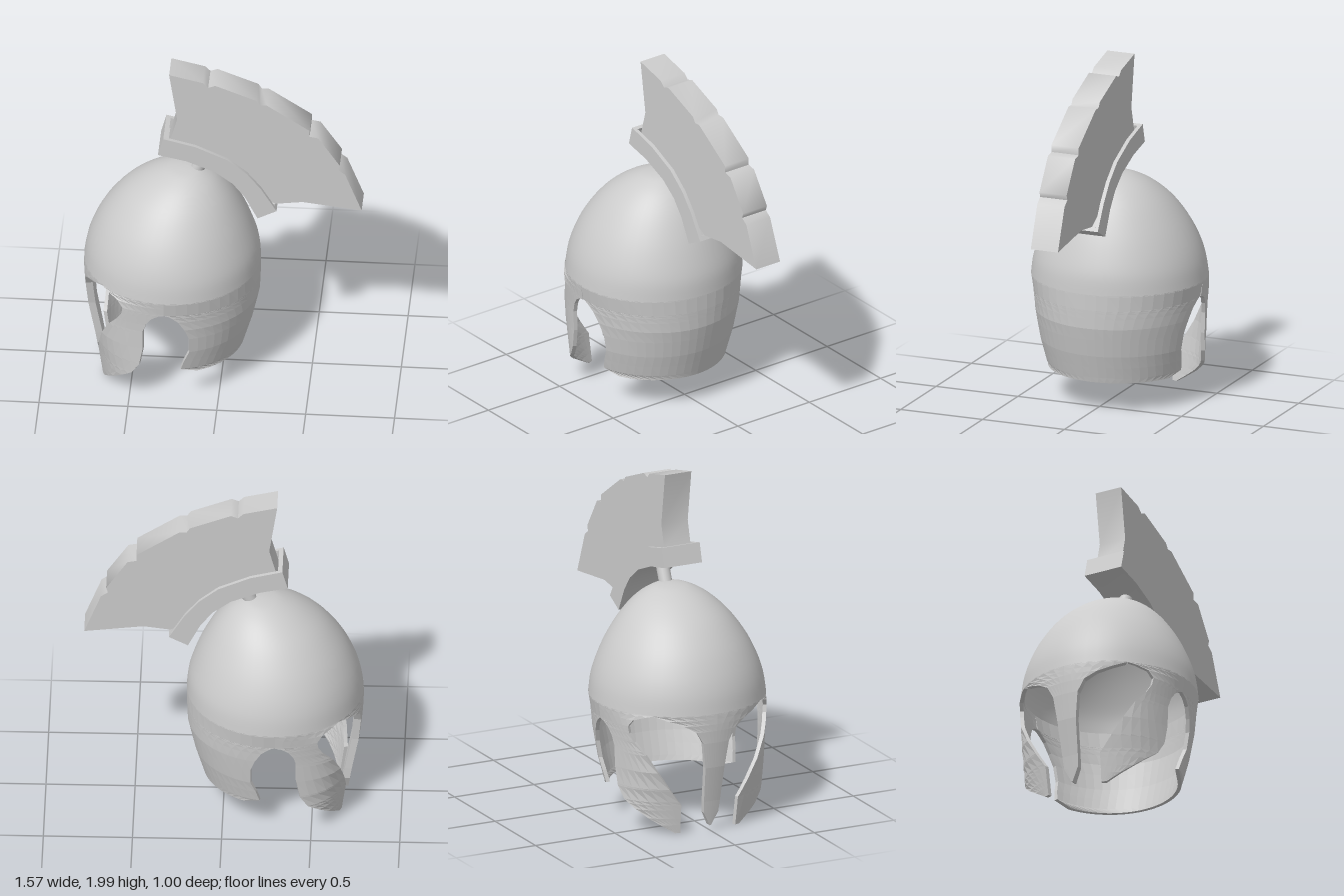
import * as THREE from 'three';
import { toCreasedNormals } from 'three/addons/utils/BufferGeometryUtils.js';

const smooth = new THREE.MeshStandardMaterial({ color: 0xcccccc, side: THREE.DoubleSide });
const faceted = new THREE.MeshStandardMaterial({ color: 0xcccccc, side: THREE.DoubleSide, flatShading: true });

// Linear lookup in a table of [y, value, value...]
function lookup(table, y) {
  if (y <= table[0][0]) return table[0].slice(1);
  for (let i = 1; i < table.length; i++) {
    const a = table[i - 1], b = table[i];
    if (y <= b[0]) return a.slice(1).map((v, k) => v + (b[k + 1] - v) * (y - a[0]) / (b[0] - a[0]));
  }
  return table[table.length - 1].slice(1);
}

// Surface through rows of points; each row is a closed loop
function loft(rows) {
  const n = rows[0].length, index = [];
  for (let i = 0; i < rows.length - 1; i++) {
    for (let j = 0; j < n; j++) {
      const a = i * n + j, b = i * n + (j + 1) % n;
      index.push(a, a + n, b + n, a, b + n, b);
    }
  }
  const geo = new THREE.BufferGeometry();
  geo.setAttribute('position', new THREE.Float32BufferAttribute(rows.flat(2), 3));
  geo.setIndex(index);
  geo.computeVertexNormals();
  return geo;
}

function add(parent, name, geo, mat) {
  const mesh = new THREE.Mesh(geo, mat);
  mesh.name = name;
  parent.add(mesh);
  return mesh;
}

// Lower shell: y, brow-side x, nape-side x, half width at the neck, half width at the cheeks
const SHELL = [
  [0, -0.69, 0.08, 0.37, 0.475], [0.19, -0.72, 0.12, 0.41, 0.475], [0.36, -0.755, 0.17, 0.45, 0.475],
  [0.52, -0.775, 0.205, 0.472, 0.48], [0.64, -0.783, 0.21, 0.485, 0.49], [0.72, -0.783, 0.21, 0.5, 0.5],
];
function ring(y, cheek) {
  const [xf, xb, neckZ, cheekZ] = lookup(SHELL, y);
  return { cx: (xf + xb) / 2, rx: (xb - xf) / 2, rz: cheek ? cheekZ : neckZ };
}
const angleAtX = (x, y) => {
  const { cx, rx } = ring(y);
  return Math.acos(THREE.MathUtils.clamp((x - cx) / rx, -1, 1));
};
const angleAtZ = (z, y) => Math.PI - Math.asin(z / ring(y).rz);

// Edge curves of the cut-outs: y, x (noseguard: y, z)
const NECK_EDGE = [
  [0.185, -0.12], [0.215, -0.21], [0.28, -0.19], [0.35, -0.16], [0.45, -0.16], [0.52, -0.185],
  [0.58, -0.22], [0.61, -0.255], [0.625, -0.28], [0.63, -0.3], [0.72, -0.3],
];
const CHEEK_BACK = [
  [0.01, -0.655], [0.06, -0.625], [0.1, -0.59], [0.15, -0.54], [0.2, -0.48], [0.27, -0.44], [0.38, -0.42],
  [0.5, -0.42], [0.56, -0.4], [0.6, -0.37], [0.625, -0.33], [0.63, -0.3], [0.72, -0.3],
];
const CHEEK_FRONT = [
  [0.01, -0.665], [0.18, -0.688], [0.28, -0.675], [0.38, -0.65], [0.48, -0.61], [0.55, -0.56],
  [0.6, -0.535], [0.64, -0.53], [0.68, -0.56], [0.705, -0.62], [0.715, -0.65], [0.72, -0.65],
];
const NOSE_EDGE = [
  [0.04, 0.004], [0.12, 0.045], [0.19, 0.05], [0.4, 0.06], [0.55, 0.08], [0.62, 0.12],
  [0.66, 0.19], [0.69, 0.27], [0.715, 0.335], [0.72, 0.335],
];

// Thick curved plate; range(y) gives its first and last angle at each height
function plate(heights, columns, thickness, cheek, range) {
  const ys = [...new Set(heights)].sort((a, b) => a - b);
  const makeRow = (y, inset) => {
    const [a, b] = range(y), { cx, rx, rz } = ring(y, cheek), outer = [], inner = [];
    for (let j = 0; j <= columns; j++) {
      const t = a + (b - a) * j / columns;
      // cheek plates swell outwards below the brow
      const swell = cheek ? 0.02 * Math.exp(-(((Math.abs(t) - 2.3) / 0.3) ** 2)) * Math.min(1, (0.72 - y) * 15, y * 3) : 0;
      const point = (d) => [cx + (rx + swell - d) * Math.cos(t), y, (rz + swell - d) * Math.sin(t)];
      outer.push(point(0));
      inner.unshift(point(inset));
    }
    return [...outer, ...inner];
  };
  return loft([makeRow(ys[0], 0), ...ys.map((y) => makeRow(y, thickness))]);
}

// Skewed egg-shaped crown: brow-side x, nape-side x, half width, y
function crownGeometry() {
  const rings = [
    [-0.783, 0.21, 0.5, 0.715], [-0.767, 0.2, 0.485, 0.82], [-0.73, 0.167, 0.45, 0.93],
    [-0.665, 0.117, 0.39, 1.05], [-0.565, 0.05, 0.305, 1.17], [-0.445, -0.025, 0.21, 1.26],
    [-0.335, -0.1, 0.12, 1.312], [-0.26, -0.148, 0.055, 1.328], [-0.2, -0.2, 0, 1.332],
  ];
  const front = new THREE.SplineCurve(rings.map((r) => new THREE.Vector2(r[0], r[3])));
  const back = new THREE.SplineCurve(rings.map((r) => new THREE.Vector2(r[1], r[2])));
  const rows = [];
  for (let i = 0; i <= 32; i++) {
    const f = front.getPoint(i / 32), b = back.getPoint(i / 32), row = [];
    for (let j = 0; j < 48; j++) {
      const t = j / 48 * Math.PI * 2;
      row.push([(f.x + b.x) / 2 + (b.x - f.x) / 2 * Math.cos(t), f.y, b.y * Math.sin(t)]);
    }
    rows.push(row);
  }
  return loft(rows);
}

// Flat profile extruded between two depths, gentle bends shaded smooth
function slab(points, z0, z1) {
  const shape = new THREE.Shape(points.map(([x, y]) => new THREE.Vector2(x, y)));
  const geo = new THREE.ExtrudeGeometry(shape, { depth: z1 - z0, bevelEnabled: false });
  return toCreasedNormals(geo.translate(0, 0, z0), 1);
}

export function createModel() {
  const model = new THREE.Group();
  model.name = 'crestedHelmet';

  add(model, 'crown', crownGeometry(), smooth);

  const ysOf = (...tables) => tables.flat().map((r) => r[0]);
  add(model, 'neckGuard', plate(ysOf(NECK_EDGE), 24, 0.022, false, (y) => {
    const a = angleAtX(lookup(NECK_EDGE, y)[0], y);
    return [-a, a];
  }), faceted);
  add(model, 'noseGuard', plate(ysOf(NOSE_EDGE), 10, 0.04, false, (y) => {
    const a = angleAtZ(lookup(NOSE_EDGE, y)[0], y);
    return [a, 2 * Math.PI - a];
  }), faceted);
  for (const side of [1, -1]) {
    add(model, side > 0 ? 'leftCheekGuard' : 'rightCheekGuard',
      plate(ysOf(CHEEK_BACK, CHEEK_FRONT), 6, 0.022, true, (y) => {
        const b = angleAtX(lookup(CHEEK_BACK, y)[0], y), c = angleAtX(lookup(CHEEK_FRONT, y)[0], y);
        return side > 0 ? [b, c] : [-c, -b];
      }), faceted);
  }

  // Crest stem
  const from = new THREE.Vector3(-0.17, 1.26, 0), to = new THREE.Vector3(-0.095, 1.43, 0);
  const dir = to.clone().sub(from);
  const stem = add(model, 'crestStem', new THREE.CylinderGeometry(0.038, 0.038, dir.length(), 20), smooth);
  stem.position.copy(from).add(to).multiplyScalar(0.5);
  stem.quaternion.setFromUnitVectors(new THREE.Vector3(0, 1, 0), dir.normalize());

  // Crest holder: a curved tray with floor, side walls and end lips
  const outer = [[-0.33, 1.585], [-0.15, 1.54], [0.03, 1.46], [0.14, 1.37], [0.22, 1.27], [0.307, 1.125]];
  const inner = [[-0.36, 1.475], [-0.2, 1.44], [-0.04, 1.375], [0.06, 1.3], [0.13, 1.21], [0.2, 1.07]];
  const between = (t) => inner.map((p, i) => p.map((v, k) => v + (outer[i][k] - v) * t));
  const band = (t) => [...inner, ...between(t).reverse()];
  const holder = new THREE.Group();
  holder.name = 'crestHolder';
  model.add(holder);
  add(holder, 'trayFloor', slab(band(0.4), -0.1, 0.1), smooth);
  add(holder, 'trayWallLeft', slab(band(1), 0.098, 0.12), smooth);
  add(holder, 'trayWallRight', slab(band(1), -0.12, -0.098), smooth);
  add(holder, 'trayLipTop', slab([inner[0], [-0.335, 1.47], [-0.305, 1.579], outer[0]], -0.1, 0.1), smooth);
  add(holder, 'trayLipBottom', slab([inner[5], outer[5], [0.294, 1.147], [0.188, 1.094]], -0.1, 0.1), smooth);

  // Plume with a notched outer edge
  const plume = [
    [-0.3, 2], [-0.11, 1.955], [-0.08, 1.925], [-0.04, 1.94], [0.19, 1.85], [0.21, 1.82], [0.25, 1.82],
    [0.49, 1.66], [0.49, 1.62], [0.54, 1.61], [0.66, 1.43], [0.65, 1.4], [0.69, 1.37], [0.783, 1.13],
    [0.45, 1.17], [0.3, 1.15], ...between(0.3).slice(1, 5).reverse(), [-0.31, 1.5], [-0.29, 1.57], [-0.255, 1.7],
  ];
  add(model, 'plume', slab(plume, -0.083, 0.083), smooth);

  return model;
}
